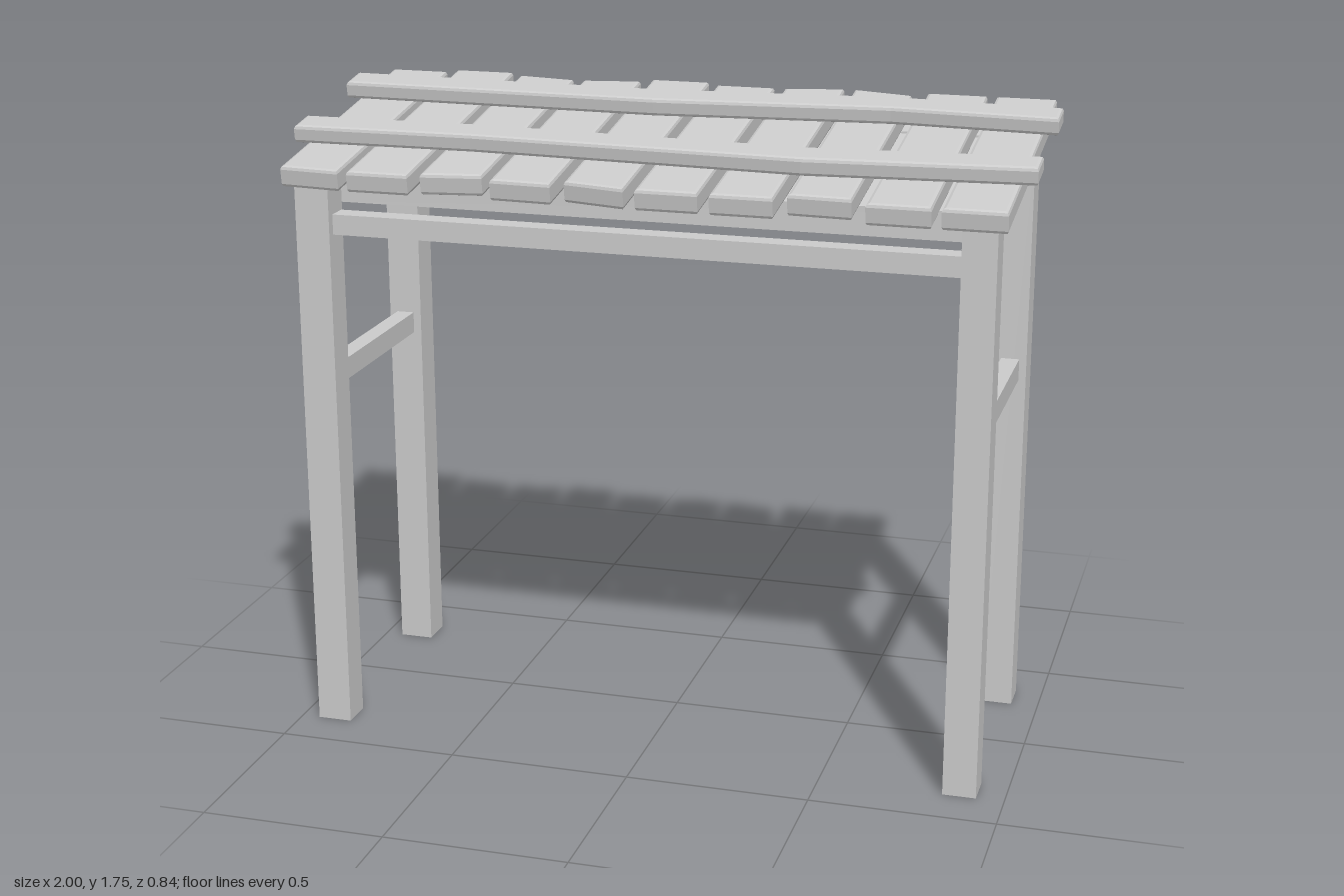
import * as THREE from 'three';

const material = new THREE.MeshStandardMaterial({ color: 0xcccccc, flatShading: true });
const slope = 0.155;                                // roof pitch in radians
const roofY = 1.631;                                // middle of the planks at z = 0
const underside = z => roofY - 0.03 - z * Math.tan(slope);

function addMesh(parent, name, geometry) {
  const mesh = new THREE.Mesh(geometry, material);
  mesh.name = name;
  parent.add(mesh);
  return mesh;
}

// Box between two corners; top and bottom heights may be functions of z
function bar(parent, name, [x0, x1], [y0, y1], [z0, z1]) {
  const geometry = new THREE.BoxGeometry(1, 1, 1);
  const p = geometry.attributes.position;
  const at = (y, z) => (typeof y === 'function' ? y(z) : y);
  for (let i = 0; i < p.count; i++) {
    const z = p.getZ(i) > 0 ? z1 : z0;
    p.setXYZ(i, p.getX(i) > 0 ? x1 : x0, at(p.getY(i) > 0 ? y1 : y0, z), z);
  }
  geometry.computeVertexNormals();
  return addMesh(parent, name, geometry);
}

// Board with bevelled edges from a plan outline of [x, z] points
function board(parent, name, outline, thickness, y) {
  const bevel = 0.01;
  const shape = new THREE.Shape(outline.map(([x, z]) => new THREE.Vector2(x, -z / Math.cos(slope))));
  const geometry = new THREE.ExtrudeGeometry(shape, {
    depth: thickness - 2 * bevel, bevelThickness: bevel, bevelSize: bevel,
    bevelOffset: -bevel, bevelSegments: 2,
  });
  geometry.translate(0, 0, bevel - thickness / 2);
  geometry.rotateX(-Math.PI / 2);
  geometry.translate(0, y, 0);
  return addMesh(parent, name, geometry);
}

export function createModel() {
  const model = new THREE.Group();
  model.name = 'shelter';

  // Posts and side stretchers
  const postX = [[-0.95, -0.855], [0.835, 0.925]];
  for (const x of postX) {
    bar(model, 'frontPost', x, [0, underside], [0.28, 0.37]);
    bar(model, 'backPost', x, [0, underside], [-0.35, -0.255]);
    const mid = (x[0] + x[1]) / 2;
    bar(model, 'sideStretcher', [mid - 0.025, mid + 0.025], [0.97, 1.03], [-0.255, 0.28]);
  }

  // Long rails between the posts
  const span = [-0.855, 0.835];
  bar(model, 'frontRail', span, [1.405, 1.46], [0.285, 0.345]);
  bar(model, 'backRail', span, [1.38, 1.48], [-0.325, -0.27]);
  bar(model, 'upperBackRail', span, [1.56, underside], [-0.325, -0.27]);

  // Sloping roof bed under the planks
  bar(model, 'roofBed', [-0.9, 0.88], [z => 1.525 - z * 0.159, underside], [-0.255, 0.28]);

  // Tilted roof covering
  const roof = new THREE.Group();
  roof.name = 'roof';
  roof.position.y = roofY;
  roof.rotation.x = slope;
  model.add(roof);

  // Planks: left edge, right edge, back ends (left, right), front ends (left, right)
  const planks = [
    [-0.97, -0.805, -0.40, -0.40, 0.405, 0.415],
    [-0.78, -0.61, -0.42, -0.42, 0.415, 0.415],
    [-0.58, -0.415, -0.40, -0.385, 0.40, 0.385],
    [-0.385, -0.22, -0.385, -0.40, 0.41, 0.415],
    [-0.19, -0.025, -0.42, -0.42, 0.39, 0.415],
    [0.005, 0.17, -0.40, -0.40, 0.415, 0.415],
    [0.20, 0.365, -0.40, -0.42, 0.415, 0.415],
    [0.395, 0.56, -0.42, -0.395, 0.385, 0.39],
    [0.60, 0.765, -0.42, -0.42, 0.415, 0.415],
    [0.79, 0.955, -0.42, -0.42, 0.415, 0.415],
  ];
  for (const [l, r, backL, backR, frontL, frontR] of planks) {
    board(roof, 'roofPlank', [[l, frontL], [r, frontR], [r, backR], [l, backL]], 0.06, 0);
  }

  // Slightly crooked battens: centre line points [x, z]
  const battens = {
    frontBatten: [[-1, 0.183], [-0.5, 0.178], [0.4, 0.21], [1, 0.183]],
    backBatten: [[-1, -0.18], [-0.1, -0.168], [0.55, -0.2], [1, -0.18]],
  };
  for (const [name, line] of Object.entries(battens)) {
    const near = line.map(([x, z]) => [x, z + 0.053]);
    const far = line.map(([x, z]) => [x, z - 0.037]).reverse();
    board(roof, name, [...near, ...far], 0.05, 0.055);
  }
  return model;
}
